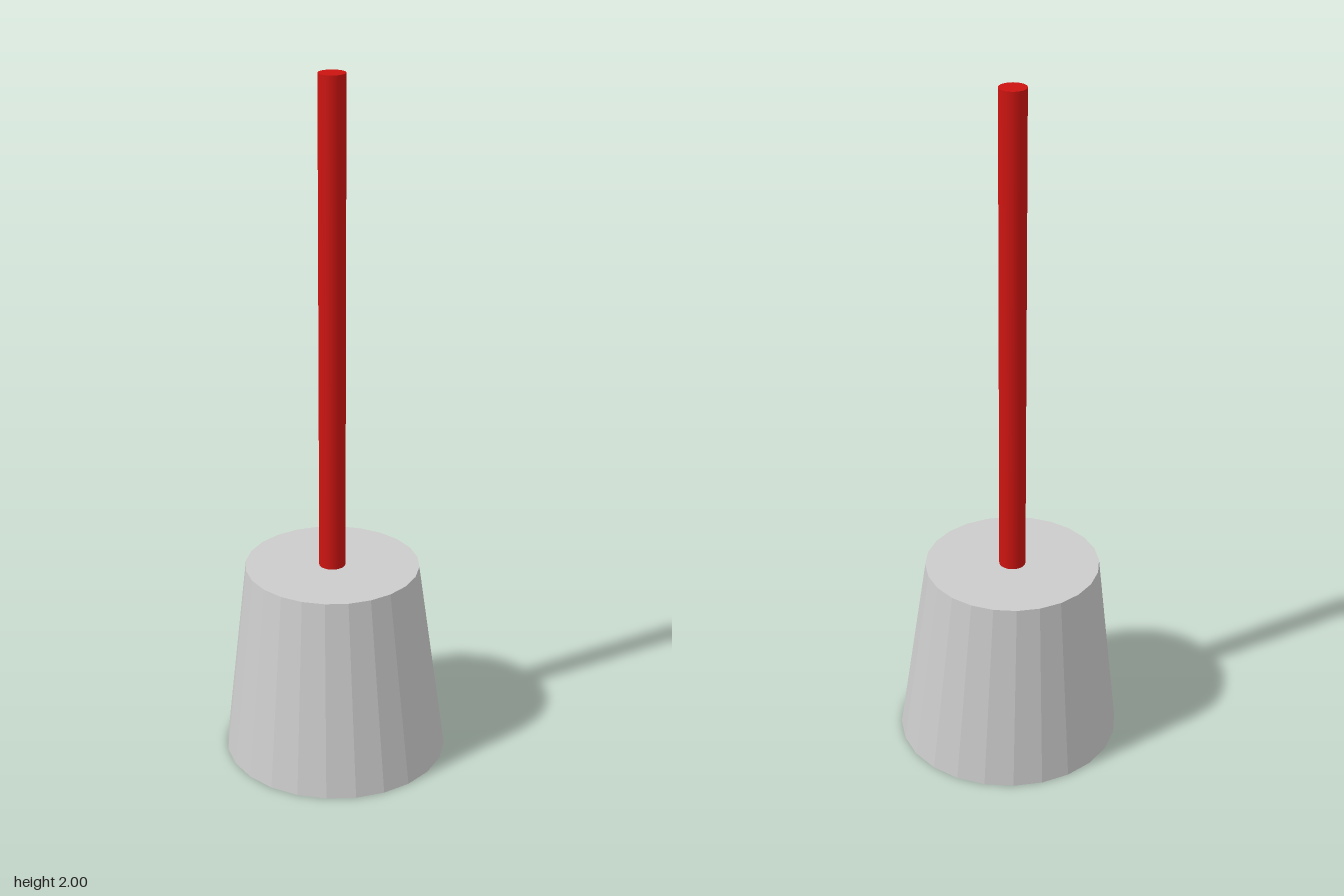
import * as THREE from 'three';

export function createModel() {
  const group = new THREE.Group();
  const baseHeight = 0.573, offset = -0.0155;

  // Faceted tapered base whose top is shifted slightly off centre
  const baseGeometry = new THREE.CylinderGeometry(0.252, 0.324, baseHeight, 24);
  baseGeometry.translate(0, baseHeight / 2, 0);
  const shear = offset / baseHeight;
  baseGeometry.applyMatrix4(new THREE.Matrix4().makeShear(0, 0, shear, shear, 0, 0));
  baseGeometry.computeVertexNormals();
  const base = new THREE.Mesh(
    baseGeometry,
    new THREE.MeshStandardMaterial({ color: 0xcccccc, flatShading: true })
  );
  base.name = 'base';
  group.add(base);

  // Smooth upright rod standing on the base top
  const rodHeight = 2 - baseHeight;
  const rod = new THREE.Mesh(
    new THREE.CylinderGeometry(0.038, 0.038, rodHeight, 32),
    new THREE.MeshStandardMaterial({ color: 0xcc1410 })
  );
  rod.position.set(offset, baseHeight + rodHeight / 2, offset);
  rod.name = 'rod';
  group.add(rod);

  return group;
}
